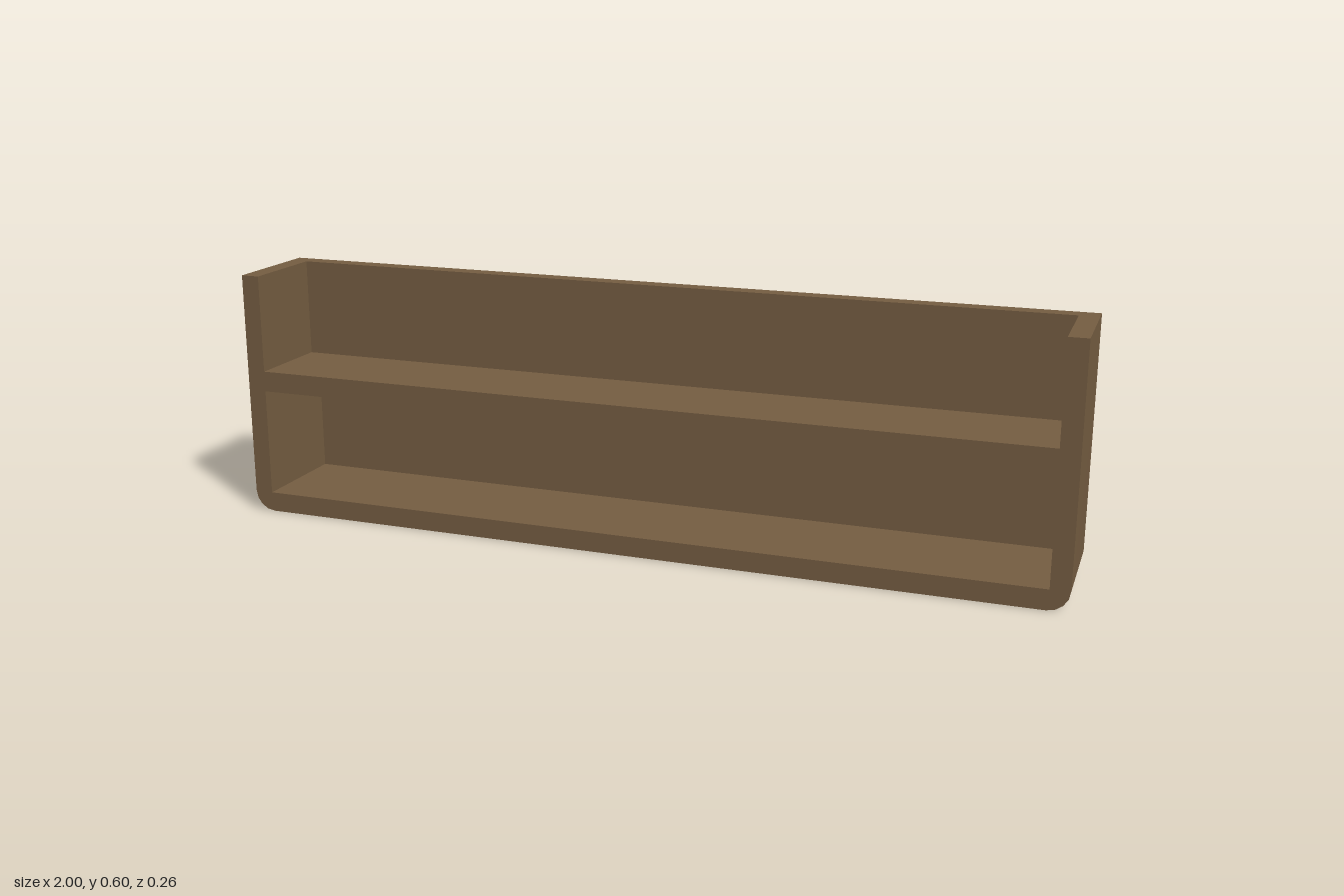
import * as THREE from 'three';

const H = 0.597;          // height
const Z = 0.13;           // half depth
const R = 0.05;           // bottom corner radius
const IN = 0.955;         // half width of the compartments

export function createModel() {
  const wood = new THREE.MeshStandardMaterial({ color: 0x765e42 });
  wood.name = 'brown wood';
  wood.side = THREE.DoubleSide;
  const group = new THREE.Group();
  group.name = 'wallShelf';

  const add = (name, geometry, parent = group) => {
    const mesh = new THREE.Mesh(geometry, wood);
    mesh.name = name;
    parent.add(mesh);
    return mesh;
  };

  // U-shaped outline: down the left, round both bottom corners, up the right
  const outline = [[-1, H]];
  const SEG = 4;
  for (const s of [-1, 1]) {
    for (let i = 0; i <= SEG; i++) {
      const a = (s < 0 ? i : SEG - i) / SEG * Math.PI / 2;
      outline.push([s * (1 - R + R * Math.cos(a)), R - R * Math.sin(a)]);
    }
  }
  outline.push([1, H]);

  // Outer skin, open at the back
  const pos = [], index = [];
  outline.forEach(([x, y], i) => {
    pos.push(x, y, -Z, x, y, Z);
    if (i < outline.length - 1) {
      const a = i * 2;
      index.push(a, a + 2, a + 1, a + 1, a + 2, a + 3);
    }
  });
  const skin = new THREE.BufferGeometry();
  skin.setAttribute('position', new THREE.Float32BufferAttribute(pos, 3));
  skin.setIndex(index);
  skin.computeVertexNormals();
  add('outerSkin', skin);

  // Compartments: heights and depth of each
  const upper = { bottom: 0.36, top: H, back: -0.09 };
  const lower = { bottom: 0.048, top: 0.31, back: -0.125 };

  // Front frame with a notch above and a window below
  const points = [...outline, [IN, H], [IN, upper.bottom], [-IN, upper.bottom], [-IN, H]];
  const front = new THREE.Shape(points.map(p => new THREE.Vector2(...p)));
  front.holes.push(new THREE.Path([
    new THREE.Vector2(-IN, lower.bottom), new THREE.Vector2(-IN, lower.top),
    new THREE.Vector2(IN, lower.top), new THREE.Vector2(IN, lower.bottom),
  ]));
  add('frontFrame', new THREE.ShapeGeometry(front)).position.z = Z;

  // Top rim round the back and the two ends
  const rim = new THREE.Shape([
    [-1, -Z], [-IN, -Z], [-IN, -upper.back], [IN, -upper.back],
    [IN, -Z], [1, -Z], [1, Z], [-1, Z],
  ].map(p => new THREE.Vector2(...p)));
  add('topRim', new THREE.ShapeGeometry(rim).rotateX(-Math.PI / 2)).position.y = H;

  // Thin inward-facing panels of a compartment
  const compartment = (name, { bottom, top, back }, hasCeiling) => {
    const part = new THREE.Group();
    part.name = name;
    group.add(part);
    const h = top - bottom, d = Z - back;
    const midY = (top + bottom) / 2, midZ = (Z + back) / 2;
    add('backPanel', new THREE.PlaneGeometry(2 * IN, h), part).position.set(0, midY, back);
    add('floor', new THREE.PlaneGeometry(2 * IN, d).rotateX(-Math.PI / 2), part)
      .position.set(0, bottom, midZ);
    if (hasCeiling) {
      add('ceiling', new THREE.PlaneGeometry(2 * IN, d).rotateX(Math.PI / 2), part)
        .position.set(0, top, midZ);
    }
    for (const s of [-1, 1]) {
      add(s > 0 ? 'leftEnd' : 'rightEnd', new THREE.PlaneGeometry(d, h).rotateY(-s * Math.PI / 2), part)
        .position.set(s * IN, midY, midZ);
    }
  };
  compartment('upperCompartment', upper, false);
  compartment('lowerCompartment', lower, true);

  return group;
}
